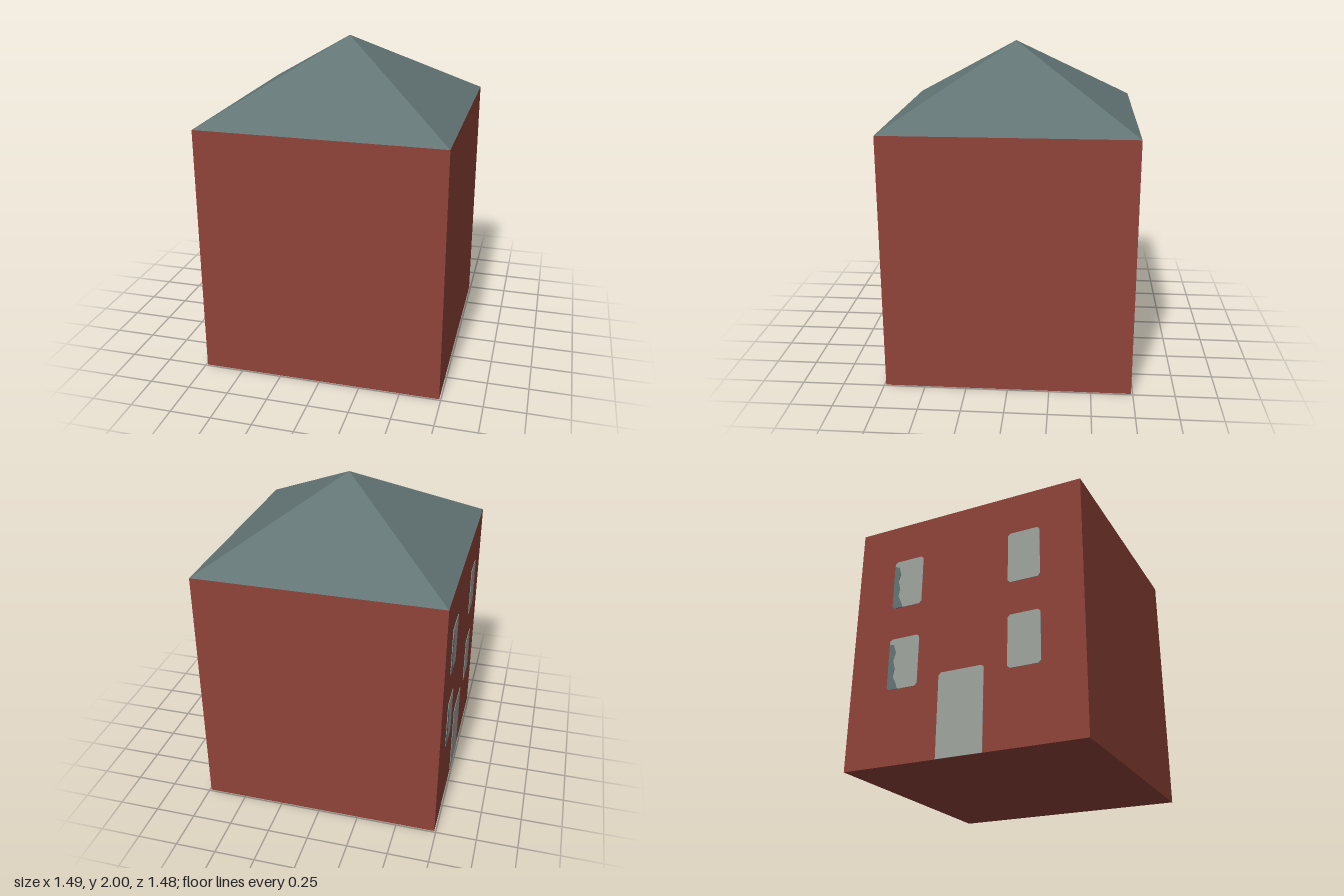
import * as THREE from 'three';

const HALF = 0.74, EAVES = 1.55, HEIGHT = 2;

export function createModel() {
  const house = new THREE.Group();
  house.name = 'house';
  const brick = new THREE.MeshStandardMaterial({ name: 'brickRed', color: 0x904339 });
  const slate = new THREE.MeshStandardMaterial({ name: 'slate', color: 0x627474 });
  const grey = new THREE.MeshStandardMaterial({ name: 'paleGrey', color: 0x9fa59f });

  const add = (name, geometry, material) => {
    const mesh = new THREE.Mesh(geometry, material);
    mesh.name = name;
    house.add(mesh);
    return mesh;
  };

  // Walls: one closed block
  add('walls', new THREE.BoxGeometry(HALF * 2, EAVES, HALF * 2), brick).position.y = EAVES / 2;

  // Pyramid roof, flush with the walls
  const roof = new THREE.ConeGeometry(HALF * Math.SQRT2, HEIGHT - EAVES, 4, 1, true).toNonIndexed();
  roof.rotateY(Math.PI / 4);
  roof.computeVertexNormals();
  add('roof', roof, slate).position.y = (EAVES + HEIGHT) / 2;

  // Thin plate on the -x wall; points are (z, y) pairs
  const plate = (name, points, material, lift) => {
    const shape = new THREE.Shape(points.map(([z, y]) => new THREE.Vector2(z, y)));
    const geometry = new THREE.ExtrudeGeometry(shape, { depth: lift, bevelEnabled: false });
    geometry.rotateY(-Math.PI / 2);
    add(name, geometry, material).position.x = -HALF;
  };

  // Door
  plate('door', [[-0.145, 0], [0.14, 0], [0.14, 0.49], [0.125, 0.5], [-0.13, 0.5], [-0.145, 0.485]], grey, 0.003);

  // Windows: two columns on two floors, with slightly clipped corners
  const w = 0.1, h = 0.16, c = 0.015;
  const pane = [[-w, -h + c], [-w + c, -h], [w - c, -h], [w, -h + c], [w, h - c], [w - c, h], [-w + c, h], [-w, h - c]];
  // Ragged dark edge along one side of the pane
  const edge = [[-w, -h + c], [-w + c, -h], [-0.03, -h], [-0.045, -0.12], [-0.065, -0.08], [-0.055, -0.03],
    [-0.07, 0.02], [-0.055, 0.07], [-0.07, 0.12], [-w, 0.13]];
  for (const y of [0.61, 1.135]) {
    for (const z of [-0.387, 0.383]) {
      const at = ([pz, py]) => [pz + z, py + y];
      plate('windowPane', pane.map(at), grey, 0.003);
      if (z < 0) plate('windowShade', edge.map(at), slate, 0.005);
    }
  }
  return house;
}
